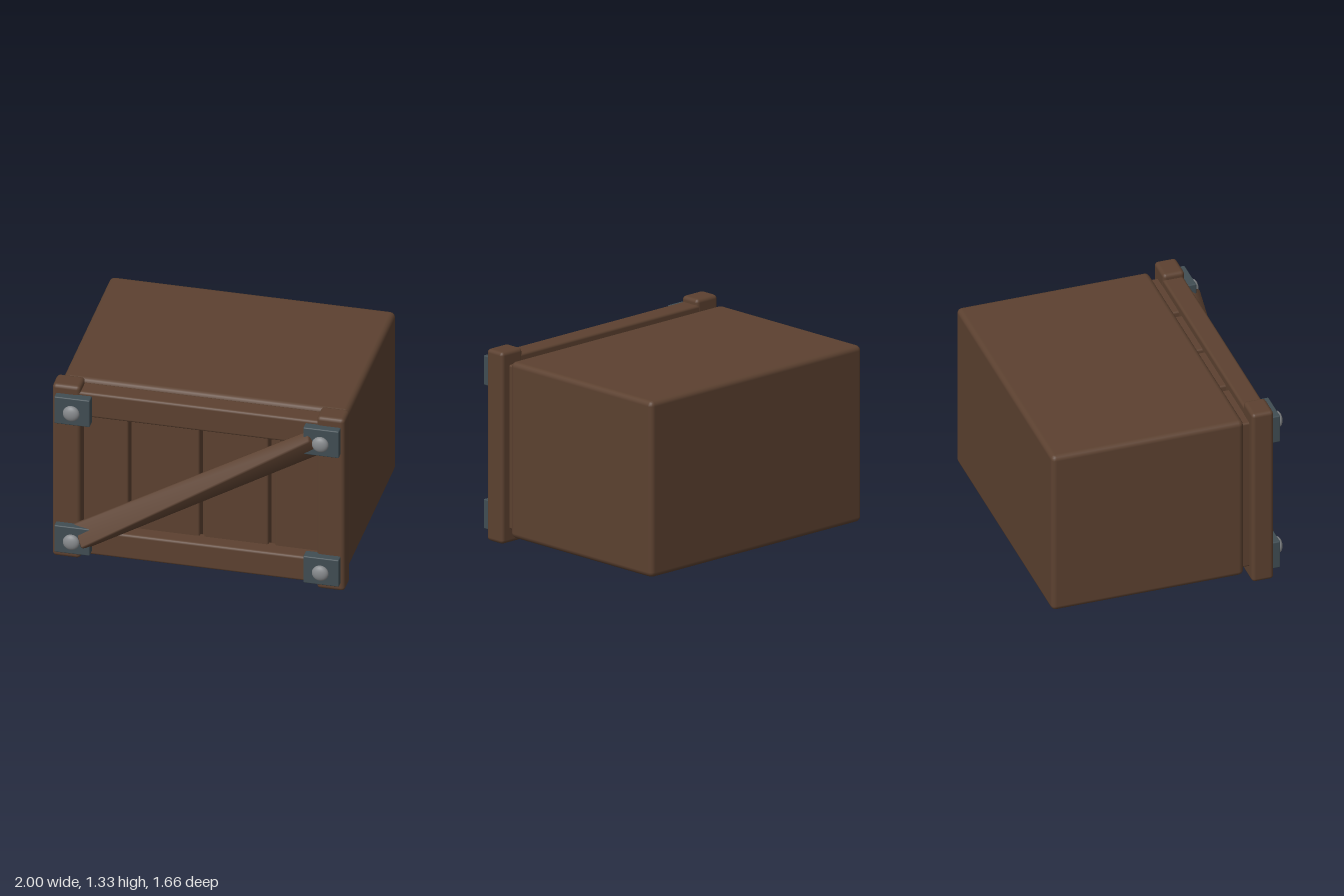
import * as THREE from 'three';
import { mergeVertices } from 'three/addons/utils/BufferGeometryUtils.js';
import { RoundedBoxGeometry } from 'three/addons/geometries/RoundedBoxGeometry.js';
import { ConvexGeometry } from 'three/addons/geometries/ConvexGeometry.js';

function material(name, color) {
  const m = new THREE.MeshStandardMaterial({ color });
  m.name = name;
  return m;
}

// Bevelled box given by its extents on each axis
function block(name, mat, [x0, x1], [y0, y1], [z0, z1], bevel) {
  const geo = new RoundedBoxGeometry(x1 - x0, y1 - y0, z1 - z0, 2, bevel);
  const mesh = new THREE.Mesh(geo, mat);
  mesh.position.set((x0 + x1) / 2, (y0 + y1) / 2, (z0 + z1) / 2);
  mesh.name = name;
  return mesh;
}

// Chamfered bar along x whose two ends are twisted in opposite directions
function twistedBar(halfLength, halfWidth, halfDepth, chamfer, twist) {
  const points = [];
  for (const end of [-1, 1]) {
    const c = Math.cos(end * twist), s = Math.sin(end * twist);
    for (const sy of [-1, 1]) for (const sz of [-1, 1]) {
      for (const [a, b, inset] of [[chamfer, 0, chamfer], [0, chamfer, chamfer], [chamfer, chamfer, 0]]) {
        const y = sy * (halfWidth - a), z = sz * (halfDepth - b);
        points.push(new THREE.Vector3(end * (halfLength - inset), y * c - z * s, y * s + z * c));
      }
    }
  }
  const hull = new ConvexGeometry(points);
  hull.deleteAttribute('normal');
  const geo = mergeVertices(hull, 1e-4);
  geo.computeVertexNormals();
  return geo;
}

export function createModel() {
  const model = new THREE.Group();
  model.name = 'crate';
  const wood = material('brown wood', 0x5c4130);
  const iron = material('dark iron', 0x404d53);
  const steel = material('grey steel', 0x85888b);

  // Main body
  model.add(block('body', wood, [-0.977, 0.977], [0.06, 1.28], [-0.828, 0.525], 0.036));

  // Front planks
  for (const [x0, x1] of [[-0.94, -0.505], [-0.457, -0.018], [0.012, 0.452], [0.498, 0.934]]) {
    model.add(block('plank', wood, [x0, x1], [0.1, 1.238], [0.45, 0.615], 0.014));
  }

  // Frame rails and posts
  model.add(block('bottomRail', wood, [-0.95, 0.95], [0.045, 0.232], [0.575, 0.718], 0.018));
  model.add(block('topRail', wood, [-0.95, 0.95], [1.105, 1.293], [0.575, 0.718], 0.018));
  for (const side of [-1, 1]) {
    const xs = side < 0 ? [-1, -0.808] : [0.808, 1];
    model.add(block('post', wood, xs, [0.005, 1.333], [0.573, 0.726], 0.026));
  }

  // Diagonal brace
  const brace = new THREE.Mesh(twistedBar(0.94, 0.089, 0.049, 0.012, Math.PI / 6), wood);
  brace.position.set(0, 0.67, 0.738);
  brace.rotation.z = 0.535;
  brace.name = 'diagonalBrace';
  model.add(brace);

  // Corner plates with domed bolts
  for (const side of [-1, 1]) {
    for (const y of [0.173, 1.168]) {
      const x = side * 0.852;
      model.add(block('cornerPlate', iron, [x - 0.122, x + 0.122], [y - 0.103, y + 0.103], [0.7, 0.78], 0.008));
      const bolt = new THREE.Mesh(new THREE.SphereGeometry(0.057, 20, 14), steel);
      bolt.scale.z = 0.55;
      bolt.position.set(x, y, 0.8);
      bolt.name = 'bolt';
      model.add(bolt);
    }
  }
  return model;
}
